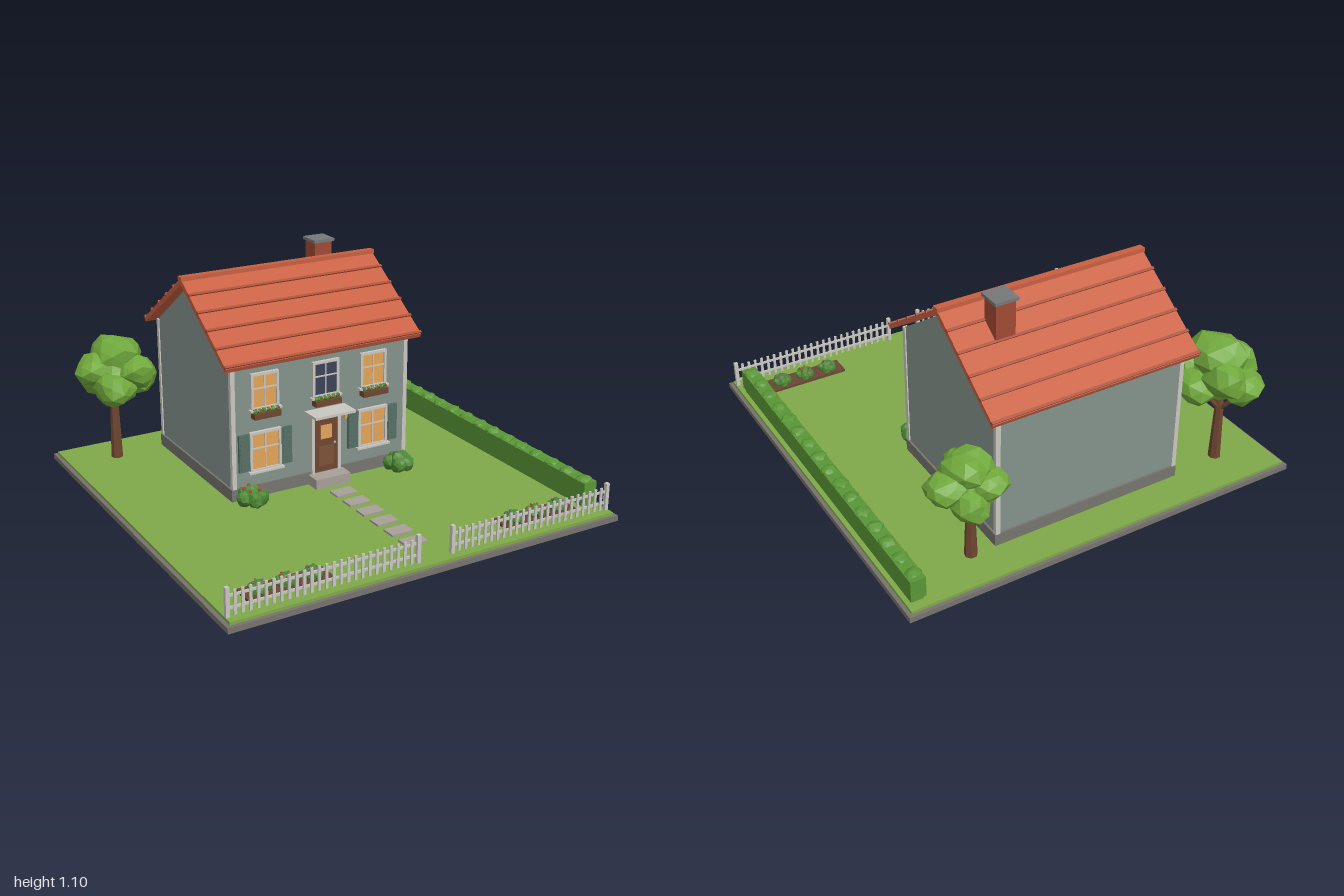
import * as THREE from 'three';

const mats = {};
const mat = (color) => (mats[color] ??= new THREE.MeshStandardMaterial({ color, flatShading: true }));
const WALL = 0x84928b, TRIM = 0xc9c7c0, ROOF = 0xc85f40, WOOD = 0x6e4630, STONE = 0xa8a098,
  LEAF = 0x70a83c, HEDGE = 0x5a9636, BUSH = 0x4c8534, SHUTTER = 0x566e64, GLOW = 0xe3a458, GLASS = 0x3c4258;

function add(parent, name, geo, color, x = 0, y = 0, z = 0) {
  const m = new THREE.Mesh(geo, mat(color));
  m.name = name;
  m.position.set(x, y, z);
  parent.add(m);
  return m;
}
// box given by its size and centre
const box = (p, name, color, w, h, d, x, y, z) => add(p, name, new THREE.BoxGeometry(w, h, d), color, x, y, z);

function group(parent, name, x = 0, y = 0, z = 0) {
  const g = new THREE.Group();
  g.name = name;
  g.position.set(x, y, z);
  parent.add(g);
  return g;
}

// faceted leaf lump, bulged by a smooth rule so shared corners stay joined
function lump(parent, name, color, r, x, y, z, seed = 0, detail = 1) {
  const geo = new THREE.IcosahedronGeometry(r, detail), p = geo.attributes.position, v = new THREE.Vector3();
  for (let i = 0; i < p.count; i++) {
    v.fromBufferAttribute(p, i);
    const k = 0.95 + 0.11 * Math.sin((v.x * 5 + v.y * 7 + v.z * 9) / r + seed * 2.7);
    p.setXYZ(i, v.x * k, v.y * k, v.z * k);
  }
  geo.computeVertexNormals();
  const m = add(parent, name, geo, color, x, y, z);
  m.rotation.y = seed * 1.3;
  return m;
}

// tapered limb between two points
function limb(parent, name, a, b, r0, r1) {
  const A = new THREE.Vector3(...a), B = new THREE.Vector3(...b), d = B.clone().sub(A);
  const m = add(parent, name, new THREE.CylinderGeometry(r1, r0, d.length(), 7), WOOD);
  m.position.copy(A).addScaledVector(d, 0.5);
  m.quaternion.setFromUnitVectors(new THREE.Vector3(0, 1, 0), d.normalize());
}

// profile in (z, y), extruded along x and centred
function alongX(points, width) {
  const shape = new THREE.Shape(points.map(([z, y]) => new THREE.Vector2(-z, y)));
  return new THREE.ExtrudeGeometry(shape, { depth: width, bevelEnabled: false })
    .translate(0, 0, -width / 2).rotateY(Math.PI / 2);
}

function tree(parent, name, x, z, c, r, seed) {
  const g = group(parent, name);
  const fork = [x, c[1] - r[1] * 0.95, z];
  limb(g, 'trunk', [x, 0.035, z], fork, 0.03, 0.021);
  limb(g, 'trunkTop', fork, c, 0.021, 0.012);
  for (let i = 0; i < 3; i++) {
    const a = i * 2.1 + 0.2;
    limb(g, 'branch', [x, fork[1] - 0.03, z],
      [x + Math.cos(a) * r[0] * 0.5, c[1] - r[1] * 0.4, z + Math.sin(a) * r[2] * 0.5], 0.013, 0.008);
  }
  const blob = (n, dx, dy, dz, s) => {
    const m = lump(g, 'crown', LEAF, 1, c[0] + dx * r[0], c[1] + dy * r[1], c[2] + dz * r[2], seed + n);
    m.rotation.y = 0;
    m.scale.set(...r.map((k) => k * s));
  };
  blob(0, 0, 0.38, 0, 0.62);
  blob(1, 0, -0.1, 0, 0.7);
  for (let i = 0; i < 6; i++) {
    const a = i * Math.PI / 3 + seed;
    blob(i + 2, Math.cos(a) * 0.53, i % 2 ? -0.3 : 0.08, Math.sin(a) * 0.53, 0.48);
  }
}

function bush(parent, name, x, z, r, seed, flower) {
  const g = group(parent, name, x, 0.04, z);
  for (let i = 0; i < 5; i++) {
    const a = i * 1.257 + seed;
    lump(g, 'leaves', BUSH, r * 0.5, Math.cos(a) * r * 0.52, r * 0.45, Math.sin(a) * r * 0.52, i + seed);
    if (flower) add(g, 'flower', new THREE.IcosahedronGeometry(r * 0.11), flower,
      Math.cos(a + 0.5) * r * 0.5, r * 1.02, Math.sin(a + 0.5) * r * 0.5);
  }
  lump(g, 'leaves', BUSH, r * 0.6, 0, r * 0.65, 0, seed);
}

function windowUnit(parent, x, y, w, h, glass) {
  const g = group(parent, 'window', x, y, 0);
  box(g, 'pane', glass, w - 0.02, h - 0.02, 0.008, 0, 0, 0.004);
  for (const s of [-1, 1]) {
    box(g, 'frameSide', TRIM, 0.013, h, 0.018, s * (w / 2 - 0.0065), 0, 0.007);
    box(g, 'frameRail', TRIM, w, 0.013, 0.018, 0, s * (h / 2 - 0.0065), 0.007);
  }
  box(g, 'mullion', TRIM, 0.007, h, 0.012, 0, 0, 0.006);
  box(g, 'mullion', TRIM, w, 0.007, 0.012, 0, h * 0.08, 0.006);
  box(g, 'sill', TRIM, w + 0.02, 0.01, 0.03, 0, -h / 2, 0.012);
  return g;
}

function house(parent) {
  const g = group(parent, 'house');
  add(g, 'walls', alongX([[0, 0.04], [0, 0.72], [-0.4, 1.0], [-0.8, 0.72], [-0.8, 0.04]], 0.95), WALL);
  box(g, 'plinth', 0x77746f, 0.97, 0.06, 0.82, 0, 0.07, -0.4);
  for (const x of [-0.47, 0.47]) for (const z of [0, -0.8])
    box(g, 'cornerBoard', TRIM, 0.022, 0.62, 0.022, x, 0.41, z);

  // roof with tile courses and ridge cap
  add(g, 'roof', alongX([[0.06, 0.72], [-0.4, 1.032], [-0.86, 0.72], [-0.85, 0.7], [-0.4, 1.0], [0.05, 0.7]], 1.05), ROOF);
  const pitch = Math.atan2(0.312, 0.46);
  for (const s of [-1, 1]) for (let i = 0; i < 5; i++) {
    const run = 0.09 + i * 0.0905;
    const b = box(g, 'tileCourse', 0xa94d33, 1.056, 0.014, 0.013, 0, 1.032 - run * 0.678, -0.4 + s * run);
    b.rotation.x = s * pitch;
  }
  box(g, 'ridgeCap', ROOF, 1.06, 0.02, 0.036, 0, 1.03, -0.4);
  box(g, 'chimney', 0xa04a34, 0.095, 0.25, 0.095, 0.297, 0.96, -0.535);
  box(g, 'chimneyCap', 0x77787a, 0.115, 0.015, 0.115, 0.297, 1.092, -0.535);

  // upper windows with flower boxes
  [-0.305, 0.02, 0.285].forEach((x, n) => {
    windowUnit(g, x, 0.567, 0.145, 0.18, n === 1 ? GLASS : GLOW);
    box(g, 'flowerBox', WOOD, 0.14, 0.028, 0.04, x, 0.454, 0.022);
    for (let i = 0; i < 6; i++) {
      const fx = x - 0.058 + i * 0.0232;
      lump(g, 'boxPlant', BUSH, 0.015, fx, 0.475, 0.022, i + n, 0);
      if (i % 2) add(g, 'boxFlower', new THREE.IcosahedronGeometry(0.006), 0xc0392f, fx, 0.481, 0.035);
    }
  });
  // lower windows with shutters
  for (const x of [-0.305, 0.285]) {
    windowUnit(g, x, 0.27, 0.165, 0.2, GLOW);
    for (const s of [-1, 1]) {
      box(g, 'shutter', SHUTTER, 0.055, 0.185, 0.014, x + s * 0.112, 0.272, 0.007);
      for (let i = 0; i < 7; i++)
        box(g, 'slat', SHUTTER, 0.042, 0.008, 0.006, x + s * 0.112, 0.2 + i * 0.024, 0.015);
    }
  }

  // entrance
  const d = group(g, 'entrance', 0.02, 0, 0);
  box(d, 'door', WOOD, 0.13, 0.28, 0.014, 0, 0.235, 0.007);
  box(d, 'doorWindow', GLOW, 0.062, 0.07, 0.006, 0, 0.298, 0.015);
  box(d, 'doorPanel', 0x7d5238, 0.085, 0.1, 0.006, 0, 0.175, 0.015);
  for (const s of [-1, 1]) box(d, 'doorPost', TRIM, 0.016, 0.29, 0.022, s * 0.072, 0.235, 0.009);
  box(d, 'doorLintel', TRIM, 0.16, 0.016, 0.022, 0, 0.378, 0.009);
  add(d, 'knob', new THREE.SphereGeometry(0.007, 8, 6), 0xc8a24a, 0.046, 0.235, 0.02);
  box(d, 'canopy', TRIM, 0.22, 0.013, 0.11, 0, 0.411, 0.053);
  box(d, 'step', STONE, 0.19, 0.05, 0.085, 0, 0.065, 0.045);
  box(d, 'lampBracket', 0x3a3a3a, 0.018, 0.006, 0.02, 0.107, 0.374, 0.01);
  box(d, 'lamp', GLOW, 0.014, 0.024, 0.014, 0.107, 0.357, 0.014);
}

function fence(parent, x0, x1) {
  const g = group(parent, 'fence', 0, 0, 0.94), len = x1 - x0, n = Math.round(len / 0.035);
  for (const x of [x0, x1]) box(g, 'post', TRIM, 0.018, 0.135, 0.018, x, 0.105, 0);
  for (const y of [0.075, 0.13]) box(g, 'rail', TRIM, len, 0.011, 0.007, (x0 + x1) / 2, y, -0.004);
  for (let i = 1; i < n; i++) box(g, 'picket', TRIM, 0.013, 0.112, 0.007, x0 + len * i / n, 0.1, 0.003);
}

export function createModel() {
  const root = new THREE.Group();
  root.name = 'cottageAndGarden';
  box(root, 'base', 0x77726c, 2, 0.026, 2, 0, 0.013, 0);
  box(root, 'lawn', 0x80a94a, 1.965, 0.02, 1.965, 0, 0.03, 0);
  house(root);

  for (let i = 0; i < 6; i++) box(root, 'pathStone', STONE, 0.11, 0.012, 0.072, 0.02, 0.044, 0.18 + i * 0.118);
  fence(root, -0.972, -0.07);
  fence(root, 0.107, 0.972);

  // flower beds
  for (const x of [-0.65, 0.647]) {
    box(root, 'flowerBed', 0x6a4636, 0.4, 0.014, 0.105, x, 0.046, 0.83);
    [-1, 0, 1].forEach((i) => bush(root, 'bedPlant', x + i * 0.126, 0.832, 0.05, i + 2 + x, i ? 0x9a5aa0 : 0xc0392f));
  }
  bush(root, 'leftBush', 0.405, 0.07, 0.08, 1);
  bush(root, 'rightBush', -0.41, 0.07, 0.08, 3, 0xc0392f);

  // hedge along the left side
  const hedge = group(root, 'hedge', 0.93, 0, -0.035);
  box(hedge, 'hedgeFoot', HEDGE, 0.06, 0.03, 1.8, 0, 0.05, 0);
  box(hedge, 'hedgeBody', HEDGE, 0.072, 0.1, 1.825, 0, 0.11, 0);
  for (let i = 0; i < 16; i++) {
    const m = lump(hedge, 'hedgeTop', HEDGE, 0.04, 0, 0.158, -0.868 + i * 0.1155, i);
    m.scale.y = 0.5;
  }

  tree(root, 'rightTree', -0.74, -0.78, [-0.735, 0.515, -0.745], [0.21, 0.185, 0.235], 1);
  tree(root, 'leftTree', 0.6, -0.8, [0.618, 0.437, -0.8], [0.188, 0.162, 0.183], 4);
  return root;
}
